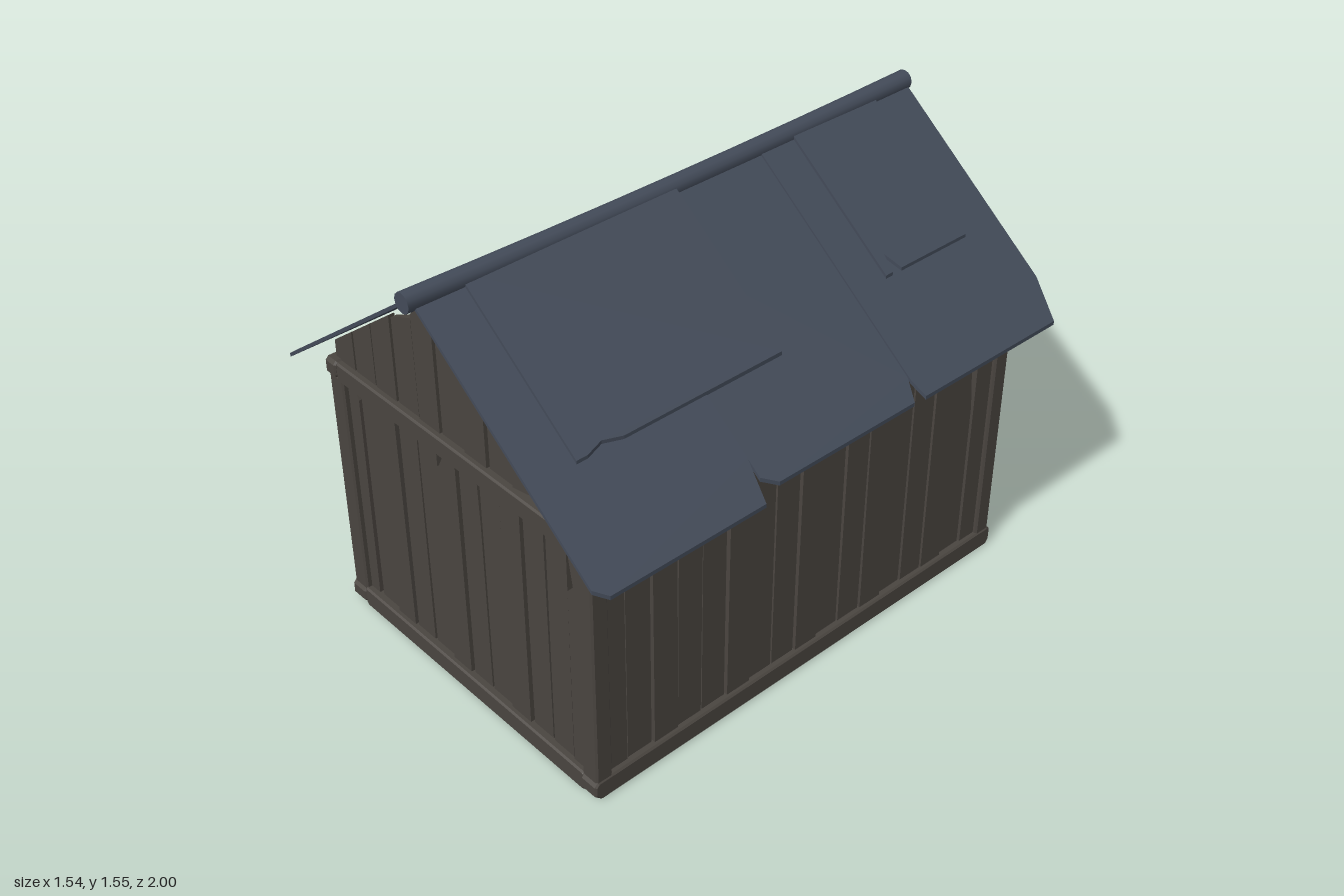
import * as THREE from 'three';

const wood = new THREE.MeshStandardMaterial({ color: 0x4a4540, side: THREE.DoubleSide });
const sheet = new THREE.MeshStandardMaterial({ color: 0x434b59, side: THREE.DoubleSide });
const slope = 0.765, ridgeY = 1.512;

// Flat outline with thickness, centred on z = 0
function slab(points, thickness, bevel = 0) {
  const shape = new THREE.Shape(points.map(([x, y]) => new THREE.Vector2(x, y)));
  const geo = new THREE.ExtrudeGeometry(shape, {
    depth: thickness - 2 * bevel, bevelEnabled: bevel > 0,
    bevelSize: bevel, bevelOffset: -bevel, bevelThickness: bevel, bevelSegments: 1,
  });
  return geo.translate(0, 0, bevel - thickness / 2);
}

function add(parent, name, geo, material) {
  const mesh = new THREE.Mesh(geo, material);
  mesh.name = name;
  parent.add(mesh);
  return mesh;
}

// Worn timber lying along x, with chipped ends
function beam(length, height, depth, chip = 0.02) {
  const l = length / 2, h = height / 2;
  return slab([
    [-l + chip, -h], [l - chip * 0.6, -h], [l, -h + chip * 0.8], [l, h - chip * 0.5],
    [l - chip * 0.6, h], [-l + chip * 0.5, h], [-l, h - chip * 0.6], [-l, -h + chip],
  ], depth, 0.006);
}

// Upright planks between x0 and x1; chips replace the outline of single planks
function plankWall(name, x0, x1, count, gap, chips = {}) {
  const wall = new THREE.Group();
  wall.name = name;
  const step = (x1 - x0) / count;
  for (let i = 0; i < count; i++) {
    const a = x0 + i * step + gap / 2, b = x0 + (i + 1) * step - gap / 2;
    const lean = 0.003 * Math.sin(i * 2.7);
    const outline = chips[i] ? chips[i](a, b) : [[a, 0.06], [b, 0.06], [b + lean, 0.92], [a + lean, 0.92]];
    const plank = add(wall, 'plank', slab(outline, 0.022), wood);
    plank.position.z = 0.005 * Math.sin(i * 4.1);
  }
  return wall;
}

// Gable planks cut to the roof line
function gable(damaged) {
  const group = new THREE.Group();
  group.name = 'gable';
  const edges = [-0.605, -0.497, -0.39, -0.28, -0.172, -0.066, 0.046, 0.156, 0.268, 0.372, 0.482, 0.6];
  const top = x => ridgeY - 0.015 - slope * Math.abs(x);
  for (let i = 0; i < edges.length - 1; i++) {
    const a = edges[i] + 0.004, b = edges[i + 1] - 0.004;
    let pts = [[a, 0.95], [b, 0.95], [b, top(b)], [a, top(a)]];
    if (a < 0 && b > 0) pts.splice(3, 0, [0, top(0)]);
    if (i === 3) pts = [[a, 0.95], [b, 0.95], [b, 1.32], [(a + b) / 2, 1.3], [a, 1.275]];
    if (i === 4) pts = [[a, 0.95], [b, 0.95], [b, 1.45], [a, 1.34]];
    if (i === 8 && damaged) pts = [[a, 0.975], [b, 0.995], [b, top(b)], [a, top(a)]];
    add(group, 'gablePlank', slab(pts, 0.022), wood).position.z = 0.004 * Math.sin(i * 3.3);
  }
  return group;
}

// Roof sheet from its plan outline (distance from ridge, z), dropped along the slope
function roofSheet(parent, name, side, outline, lift) {
  const geo = slab(outline.map(([u, z]) => [u, -z]), 0.014);
  geo.rotateX(-Math.PI / 2);
  const pos = geo.attributes.position;
  for (let i = 0; i < pos.count; i++) {
    const u = pos.getX(i);
    pos.setY(i, pos.getY(i) + ridgeY + lift - slope * u);
  }
  geo.computeVertexNormals();
  const mesh = add(parent, name, geo, sheet);
  if (side < 0) mesh.scale.x = -1;
}

export function createModel() {
  const model = new THREE.Group();
  model.name = 'woodenShed';

  // Corner posts
  for (const sx of [-1, 1]) for (const sz of [-1, 1]) {
    const post = add(model, 'cornerPost', beam(0.88, 0.068, 0.062, 0.012), wood);
    post.rotation.z = Math.PI / 2;
    post.position.set(sx * 0.589, 0.48, sz * 0.855);
  }

  // Base and top beams
  for (const s of [-1, 1]) {
    const sideBase = add(model, 'sideBaseBeam', beam(1.79, 0.075, 0.07, 0.024), wood);
    sideBase.rotation.y = Math.PI / 2;
    sideBase.position.set(s * 0.592, 0.0375, 0);
    add(model, 'endBaseBeam', beam(1.13, 0.075, 0.066, 0.012), wood).position.set(0, 0.0375, s * 0.856);
    const sideTop = add(model, 'sideTopBeam', beam(1.79, 0.072, 0.052), wood);
    sideTop.rotation.y = Math.PI / 2;
    sideTop.position.set(s * 0.6, 0.942, 0);
    add(model, 'endTopBeam', beam(1.16, 0.07, 0.06, 0.012), wood).position.set(0, 0.938, s * 0.858);
  }

  // End walls with split and notched planks
  const frontWall = plankWall('frontWall', -0.596, 0.596, 12, 0.009, {
    0: (a, b) => [[a, 0.06], [b - 0.008, 0.06], [b, 0.86], [b - 0.03, 0.92], [a, 0.92]],
    5: (a, b) => [[a, 0.06], [b, 0.06], [b, 0.92], [a + 0.045, 0.92], [a + 0.01, 0.85], [a, 0.84]],
    6: (a, b) => [[a, 0.06], [b, 0.06], [b, 0.72], [b - 0.006, 0.92], [a, 0.92]],
    11: (a, b) => [[a, 0.06], [b, 0.06], [b, 0.92], [a, 0.92], [a + 0.025, 0.77], [a, 0.74]],
  });
  frontWall.position.z = 0.855;
  const backWall = plankWall('backWall', -0.596, 0.596, 12, 0.009, {
    6: (a, b) => [[a, 0.06], [b, 0.06], [b, 0.74], [b - 0.035, 0.92], [a, 0.92]],
    7: (a, b) => [[a, 0.06], [b, 0.06], [b, 0.92], [a + 0.03, 0.92], [a, 0.76]],
  });
  backWall.position.z = -0.855;
  model.add(frontWall, backWall);

  // Gables
  for (const s of [-1, 1]) {
    const g = gable(s > 0);
    g.position.z = s * 0.855;
    model.add(g);
  }

  // Side walls
  for (const s of [-1, 1]) {
    const wall = plankWall(s > 0 ? 'leftWall' : 'rightWall', -0.85, 0.85, 17, 0.006, {
      1: (a, b) => [[a, 0.06], [b, 0.06], [b, 0.92], [a + 0.03, 0.92], [a, 0.86]],
      4: (a, b) => [[a, 0.06], [b, 0.06], [b, 0.8], [b - 0.012, 0.92], [a, 0.92]],
      15: (a, b) => [[a, 0.06], [b, 0.06], [b, 0.64], [b - 0.03, 0.92], [a, 0.92]],
    });
    wall.rotation.y = s * Math.PI / 2;
    wall.position.x = s * 0.596;
    model.add(wall);
  }

  // Roof sheets: side, back z, front z, eave distance, chips at back and front corner [along eave, along z]
  const roof = new THREE.Group();
  roof.name = 'roof';
  model.add(roof);
  const panels = [
    [1, -0.99, -0.322, 0.74, [0.12, 0.045], [0.05, 0.015]],
    [1, -0.32, 0.328, 0.737, [0.06, 0.03], [0.03, 0.05]],
    [1, 0.33, 0.975, 0.767, [0.11, 0.03], [0.03, 0.04]],
    [-1, -0.98, -0.333, 0.745, [0.03, 0.03], [0.06, 0.015]],
    [-1, -0.331, 0.313, 0.772, [0.11, 0.05], [0.1, 0.03]],
    [-1, 0.316, 0.99, 0.745, [0.05, 0.02], [0.11, 0.045]],
  ];
  panels.forEach(([side, z0, z1, u, b, f], i) => roofSheet(roof, 'roofSheet', side, [
    [0, z0], [u - b[0], z0], [u, z0 + b[1]], [u, z1 - f[1]], [u - f[0], z1], [0, z1],
  ], i % 3 === 1 ? -0.003 : 0.002));

  // Repair patches with torn edges
  roofSheet(roof, 'roofPatch', 1, [
    [0, -0.83], [0.445, -0.83], [0.445, -0.53], [0.395, -0.5], [0.445, -0.49], [0.445, -0.46], [0, -0.46],
  ], 0.014);
  roofSheet(roof, 'roofPatch', 1, [
    [0, 0.03], [0.488, 0.03], [0.488, 0.64], [0.474, 0.71], [0.488, 0.77], [0.488, 0.81], [0, 0.81],
  ], 0.014);
  roofSheet(roof, 'roofPatch', -1, [
    [0, -0.5], [0.497, -0.5], [0.497, -0.45], [0.475, -0.39], [0.497, -0.33], [0.497, 0.14], [0, 0.14],
  ], 0.014);

  // Sagging ridge cap
  const cap = new THREE.CylinderGeometry(0.033, 0.033, 2, 12, 8).rotateX(Math.PI / 2);
  const pos = cap.attributes.position;
  for (let i = 0; i < pos.count; i++) {
    pos.setY(i, pos.getY(i) + 1.5 + 0.013 * pos.getZ(i) ** 2);
  }
  cap.computeVertexNormals();
  add(roof, 'ridgeCap', cap, sheet);

  return model;
}
